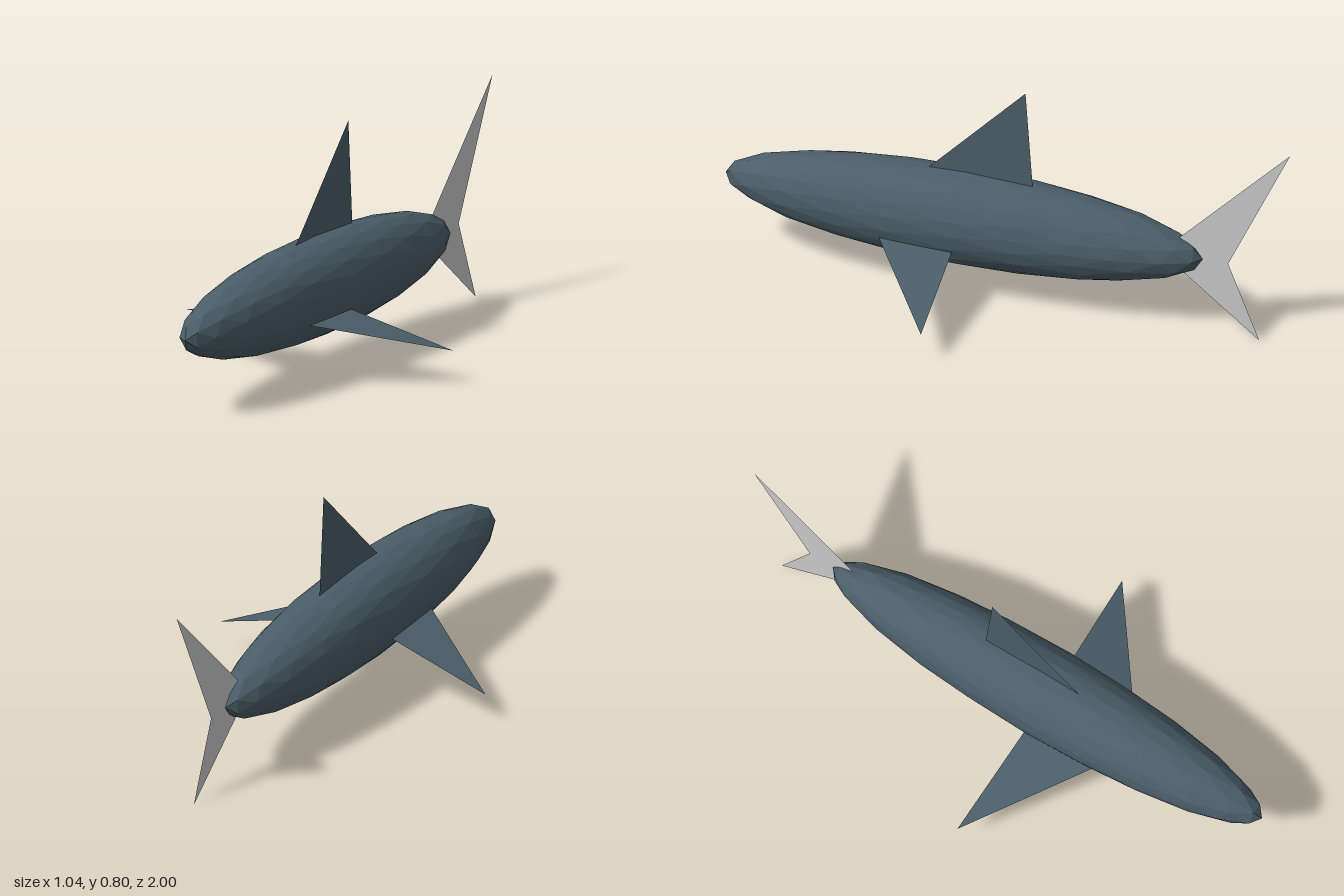
import * as THREE from 'three';

const slate = new THREE.MeshStandardMaterial({ color: 0x4b5e69, flatShading: true, side: THREE.DoubleSide });
slate.name = 'slate skin';
const pale = new THREE.MeshStandardMaterial({ color: 0xcccccc, flatShading: true, side: THREE.DoubleSide });
pale.name = 'pale grey tail';

const BODY_Y = 0.277;

// Flat fin in the plane of symmetry, outlined by [z, y] points
function uprightFin(name, points, material) {
  const shape = new THREE.Shape(points.map(([z, y]) => new THREE.Vector2(-z, y)));
  const fin = new THREE.Mesh(new THREE.ShapeGeometry(shape).rotateY(Math.PI / 2), material);
  fin.name = name;
  return fin;
}

// Flat triangular side fin, sloping down from the body to its tip
function sideFin(name, side) {
  const corners = [[0.1, 0.222, 0.435], [0.52, 0.115, 0.125], [0.1, 0.222, 0.153]];
  const geometry = new THREE.BufferGeometry().setFromPoints(
    corners.map(([x, y, z]) => new THREE.Vector3(side * x, y, z)));
  // keep the upper side as the front face
  if (side < 0) geometry.setIndex([0, 2, 1]);
  else geometry.setIndex([0, 1, 2]);
  geometry.computeVertexNormals();
  const fin = new THREE.Mesh(geometry, slate);
  fin.name = name;
  return fin;
}

export function createModel() {
  const model = new THREE.Group();
  model.name = 'shark';

  // Body: faceted ball with one corner turned to the nose, then stretched
  const golden = (1 + Math.sqrt(5)) / 2;
  const ball = new THREE.IcosahedronGeometry(1, 3)
    .rotateX(Math.atan(1 / golden))
    .rotateZ(-Math.PI / 2)
    .scale(0.152, 0.17, 0.845)
    .translate(0, BODY_Y, 0.155);
  const body = new THREE.Mesh(ball, slate);
  body.name = 'body';

  model.add(
    body,
    uprightFin('dorsalFin', [[0.32, 0.4], [-0.09, 0.4], [-0.062, 0.797]], slate),
    uprightFin('tailFin', [[-0.54, BODY_Y], [-0.89, 0], [-0.78, BODY_Y], [-1, 0.743]], pale),
    sideFin('leftSideFin', 1),
    sideFin('rightSideFin', -1),
  );
  return model;
}
